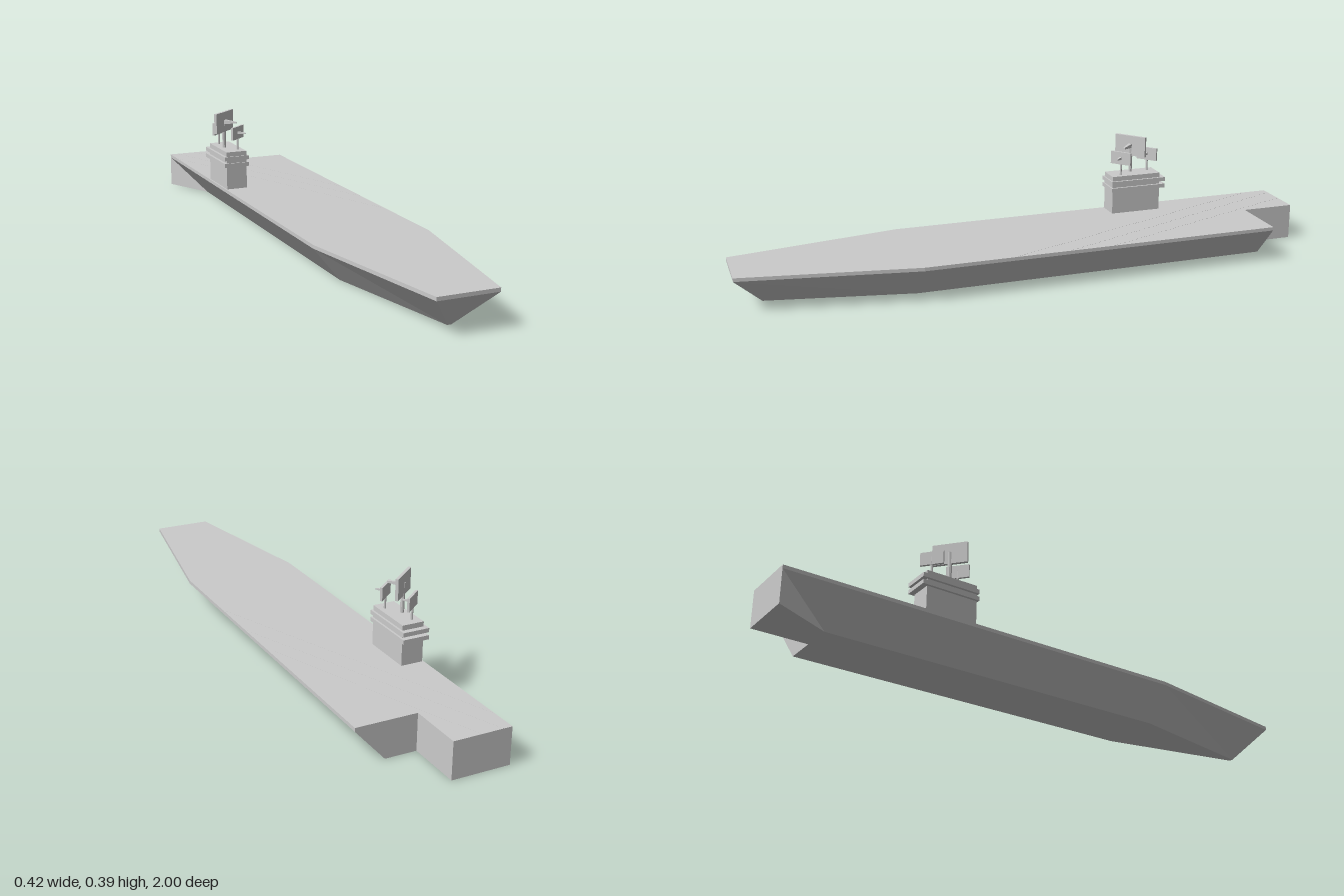
import * as THREE from 'three';

const material = new THREE.MeshStandardMaterial({ color: 0xcccccc, flatShading: true });

// Outlines as [x, z], matching corner for corner
const DECK = [
  [-0.19, -1], [-0.19, -0.815], [-0.19, 0.42], [-0.09, 1], [0.11, 1],
  [0.21, 0.42], [0.21, -0.815], [0.005, -0.815], [0.005, -1],
];
const KEEL = [
  [-0.19, -1], [-0.10, -0.815], [-0.10, 0.42], [0, 0.905], [0.013, 0.905],
  [0.11, 0.42], [0.11, -0.815], [0.005, -0.815], [0.005, -1],
];
const HULL_TOP = 0.111, DECK_TOP = 0.123, ROOF = 0.258;

function add(parent, name, geometry, x = 0, y = 0, z = 0) {
  const mesh = new THREE.Mesh(geometry, material);
  mesh.name = name;
  mesh.position.set(x, y, z);
  parent.add(mesh);
  return mesh;
}

// Upright slab with the given plan outline
function slab(outline, height) {
  const shape = new THREE.Shape(outline.map(([x, z]) => new THREE.Vector2(x, -z)));
  const geometry = new THREE.ExtrudeGeometry(shape, { depth: height, bevelEnabled: false });
  return geometry.rotateX(-Math.PI / 2);
}

// Keel slab whose upper corners are flared out to the deck outline
function hullGeometry() {
  const geometry = slab(KEEL, HULL_TOP);
  const p = geometry.attributes.position;
  for (let i = 0; i < p.count; i++) {
    if (p.getY(i) < HULL_TOP / 2) continue;
    const k = KEEL.findIndex(([x, z]) => Math.hypot(x - p.getX(i), z - p.getZ(i)) < 1e-4);
    p.setX(i, DECK[k][0]);
    p.setZ(i, DECK[k][1]);
  }
  geometry.computeVertexNormals();
  return geometry;
}

// Mast with a turned flat antenna and a tapered feed horn
function radar(name, x, z, { y, width, height, depth, mast, horn }) {
  const group = new THREE.Group();
  group.name = name;
  group.position.set(x, 0, z);
  const top = y + 0.005;
  add(group, 'mast', new THREE.CylinderGeometry(mast, mast * 0.8, top - ROOF, 8), 0, (top + ROOF) / 2, 0);
  const head = new THREE.Group();
  head.name = 'antenna';
  head.position.y = y;
  head.rotation.y = 0.7;
  group.add(head);
  add(head, 'antennaPanel', new THREE.BoxGeometry(width, height, depth));
  const cone = new THREE.CylinderGeometry(horn * 0.08, horn * 0.2, horn, 4);
  cone.rotateY(Math.PI / 4).rotateX(Math.PI / 2);
  add(head, 'feedHorn', cone, 0, 0, horn / 2);
  return group;
}

export function createModel() {
  const model = new THREE.Group();
  model.name = 'aircraftCarrier';

  add(model, 'hull', hullGeometry());
  add(model, 'flightDeck', slab(DECK.filter((_, i) => i !== 1), DECK_TOP - HULL_TOP), 0, HULL_TOP, 0);

  // Angled runway lines: start on the left edge, end at the stern
  const lines = [[0.208, 0.117, -0.188, -0.91], [0.208, -0.07, -0.16, -0.998], [0.208, -0.225, -0.087, -0.998]];
  for (const [x1, z1, x2, z2] of lines) {
    const length = Math.hypot(x2 - x1, z2 - z1);
    const line = add(model, 'runwayLine', new THREE.BoxGeometry(0.002, 0.0006, length),
      (x1 + x2) / 2, DECK_TOP, (z1 + z2) / 2);
    line.rotation.y = Math.atan2(x1 - x2, z1 - z2);
  }

  // Command island with two projecting galleries
  const island = new THREE.Group();
  island.name = 'island';
  model.add(island);
  add(island, 'tower', new THREE.BoxGeometry(0.075, ROOF - DECK_TOP, 0.18), -0.148, (ROOF + DECK_TOP) / 2, -0.438);
  for (const y of [0.2105, 0.2345]) {
    add(island, 'gallery', new THREE.BoxGeometry(0.091, 0.014, 0.203), -0.149, y, -0.445);
  }

  // Radars
  const small = { y: 0.319, width: 0.077, height: 0.045, depth: 0.008, mast: 0.0045, horn: 0.033 };
  const large = { y: 0.353, width: 0.117, height: 0.072, depth: 0.01, mast: 0.008, horn: 0.052 };
  island.add(radar('mainRadar', -0.163, -0.436, large));
  island.add(radar('frontRadar', -0.13, -0.386, small));
  island.add(radar('rearRadar', -0.16, -0.499, small));

  return model;
}
